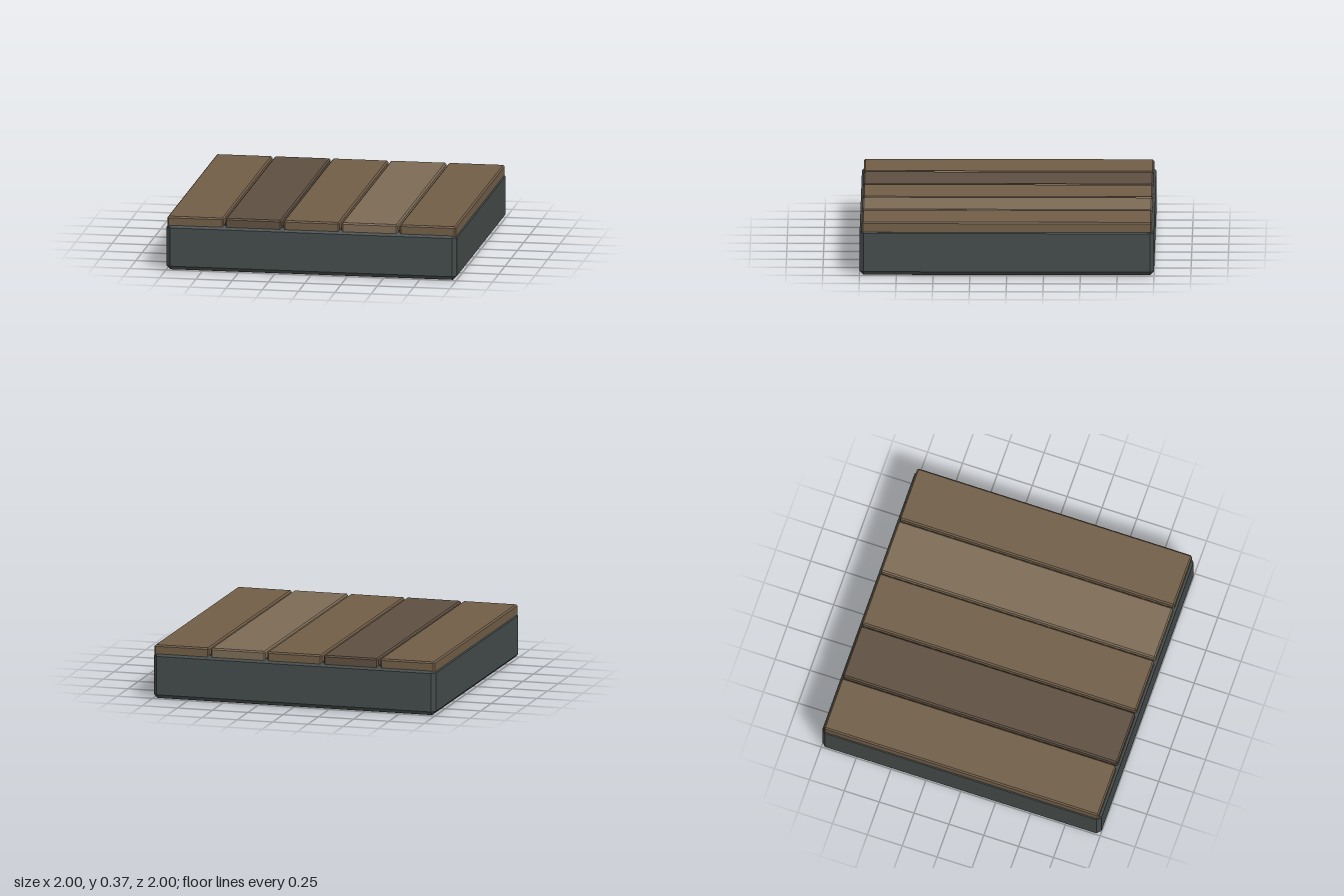
import * as THREE from 'three';
import { ConvexGeometry } from 'three/addons/geometries/ConvexGeometry.js';

// Box with every edge cut at 45 degrees, standing on y = 0
function chamferBox(w, h, d, c) {
  const points = [];
  for (const x of [-1, 1]) for (const y of [-1, 1]) for (const z of [-1, 1]) {
    for (const face of [0, 1, 2]) {
      const inset = [c, c, c];
      inset[face] = 0;
      points.push(new THREE.Vector3(
        x * (w / 2 - inset[0]),
        y * (h / 2 - inset[1]) + h / 2,
        z * (d / 2 - inset[2])));
    }
  }
  return new ConvexGeometry(points);
}

function addPart(group, name, geometry, color, x, y) {
  const material = new THREE.MeshStandardMaterial({ color, flatShading: true });
  const mesh = new THREE.Mesh(geometry, material);
  mesh.name = name;
  mesh.position.set(x, y, 0);
  group.add(mesh);
}

export function createModel() {
  const model = new THREE.Group();
  model.name = 'plankFloorTile';

  // Dark chamfered slab
  addPart(model, 'base', chamferBox(2, 0.32, 2, 0.027), 0x434a49, 0, 0);

  // Five planks laid front to back with narrow gaps
  const brown = 0x705d47, dark = 0x5d4e40, light = 0x7c6a55;
  const plank = chamferBox(0.387, 0.08, 1.97, 0.01);
  [brown, dark, brown, light, brown].forEach((color, i) => {
    addPart(model, `plank${i + 1}`, plank, color, (i - 2) * 0.4, 0.29);
  });

  return model;
}
